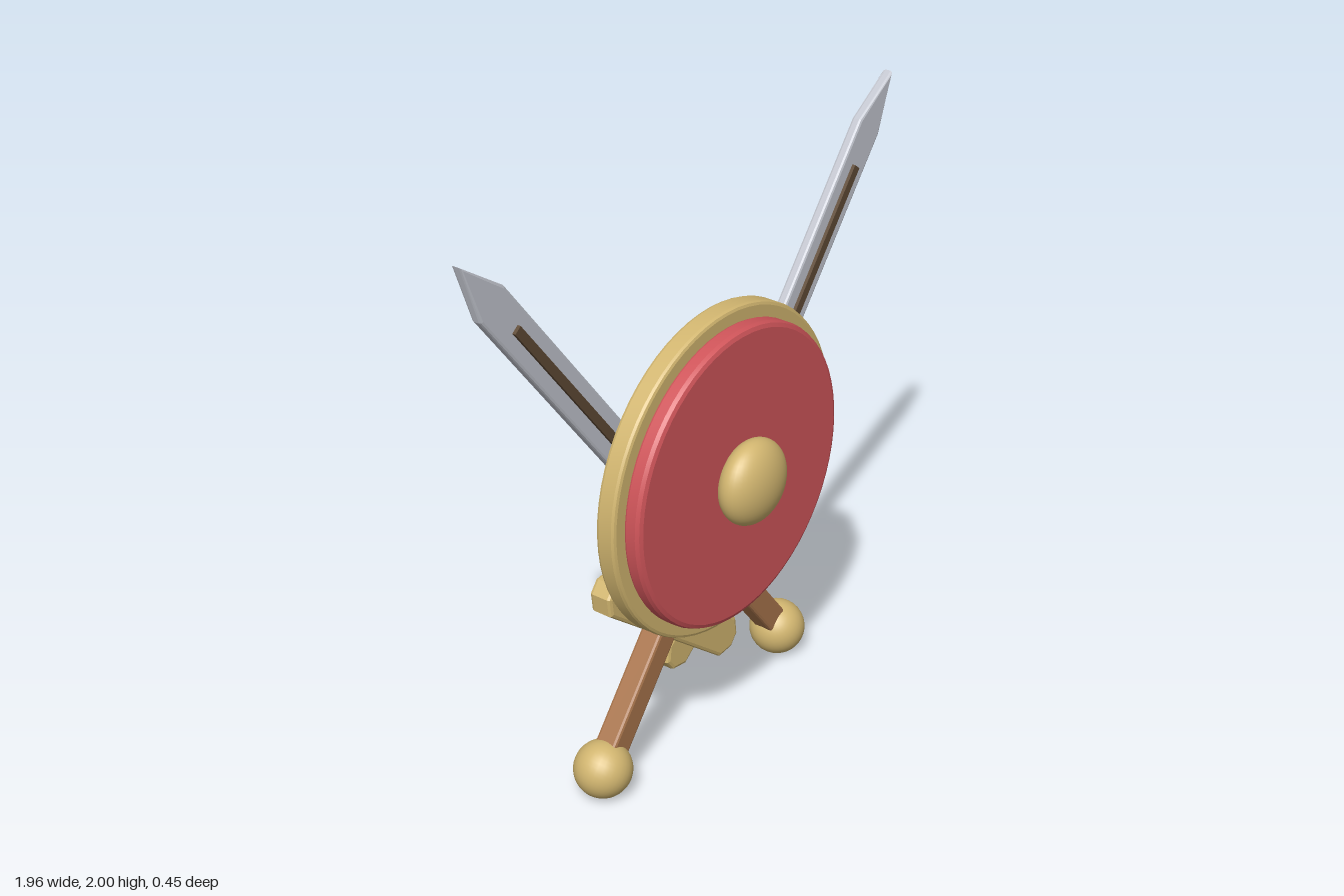
import * as THREE from 'three';
import { toCreasedNormals } from 'three/addons/utils/BufferGeometryUtils.js';

const paint = (name, color) => {
  const m = new THREE.MeshStandardMaterial({ color });
  m.name = name;
  return m;
};

const part = (parent, name, geometry, material, x = 0, y = 0, z = 0) => {
  const mesh = new THREE.Mesh(geometry, material);
  mesh.name = name;
  mesh.position.set(x, y, z);
  parent.add(mesh);
  return mesh;
};

// Bevelled slab from an outline, centred on z = 0; the outline is the outer edge
function slab(points, depth, bevel) {
  const shape = new THREE.Shape(points.map(([x, y]) => new THREE.Vector2(x, y)));
  const g = new THREE.ExtrudeGeometry(shape, {
    depth: depth - 2 * bevel, bevelEnabled: true, bevelThickness: bevel,
    bevelSize: bevel, bevelOffset: -bevel, bevelSegments: 2,
  });
  g.translate(0, 0, -depth / 2 + bevel);
  return g;
}

// Round plate facing +z with softened rims
function disc(radius, z0, z1, bevel) {
  const profile = [
    [0, z0], [radius - bevel, z0], [radius - bevel * 0.3, z0 + bevel * 0.3], [radius, z0 + bevel],
    [radius, z1 - bevel], [radius - bevel * 0.3, z1 - bevel * 0.3], [radius - bevel, z1], [0, z1],
  ].map(([r, z]) => new THREE.Vector2(r, z));
  const g = new THREE.LatheGeometry(profile, 64);
  g.rotateX(Math.PI / 2);
  return toCreasedNormals(g, 0.35);
}

// Sword along +y with the pommel centre at the origin
function createSword(name, mats) {
  const sword = new THREE.Group();
  sword.name = name;

  const w = 0.065, base = 0.59, shoulder = 2.22, tip = 2.415;
  part(sword, 'blade', slab([[-w, base], [w, base], [w, shoulder], [0, tip], [-w, shoulder]], 0.037, 0.009), mats.steel);

  // Dark groove strip on the front of the blade
  part(sword, 'fuller', new THREE.BoxGeometry(0.03, 1.42, 0.02), mats.groove, 0, 1.375, 0.02);

  // Crossguard with clipped corners
  const l = 0.39, h = 0.07, c = 0.045;
  part(sword, 'crossguard', slab([
    [-l + c, -h], [l - c, -h], [l, -h + c], [l, h - c],
    [l - c, h], [-l + c, h], [-l, h - c], [-l, -h + c],
  ], 0.082, 0.012), mats.gold, 0, 0.53, 0);

  const g = 0.045;
  part(sword, 'grip', slab([[-g, 0.03], [g, 0.03], [g, 0.48], [-g, 0.48]], 0.08, 0.01), mats.leather);
  part(sword, 'pommel', new THREE.SphereGeometry(0.096, 32, 20), mats.gold);
  return sword;
}

export function createModel() {
  const mats = {
    gold: paint('gold', 0xd2b670),
    red: paint('red', 0xd0555a),
    steel: paint('steel', 0xc3c6cf),
    leather: paint('brown leather', 0xa9754c),
    groove: paint('dark groove', 0x5f4a35),
  };
  const model = new THREE.Group();
  model.name = 'shieldAndCrossedSwords';

  // Round shield
  const shield = new THREE.Group();
  shield.name = 'shield';
  shield.position.y = 0.99;
  part(shield, 'shieldRim', disc(0.553, -0.03, 0.042, 0.012), mats.gold);
  part(shield, 'shieldFace', disc(0.504, 0.03, 0.1, 0.018), mats.red);
  const boss = part(shield, 'shieldBoss', new THREE.SphereGeometry(0.143, 40, 24), mats.gold, 0, 0, 0.14);
  boss.scale.z = 0.57;
  model.add(shield);

  // Crossed swords, one behind the other
  for (const [name, side, z] of [['frontSword', -1, -0.065], ['backSword', 1, -0.129]]) {
    const sword = createSword(name, mats);
    sword.position.set(side * 0.505, 0.097, z);
    sword.rotation.z = side * THREE.MathUtils.degToRad(38);
    model.add(sword);
  }
  return model;
}
